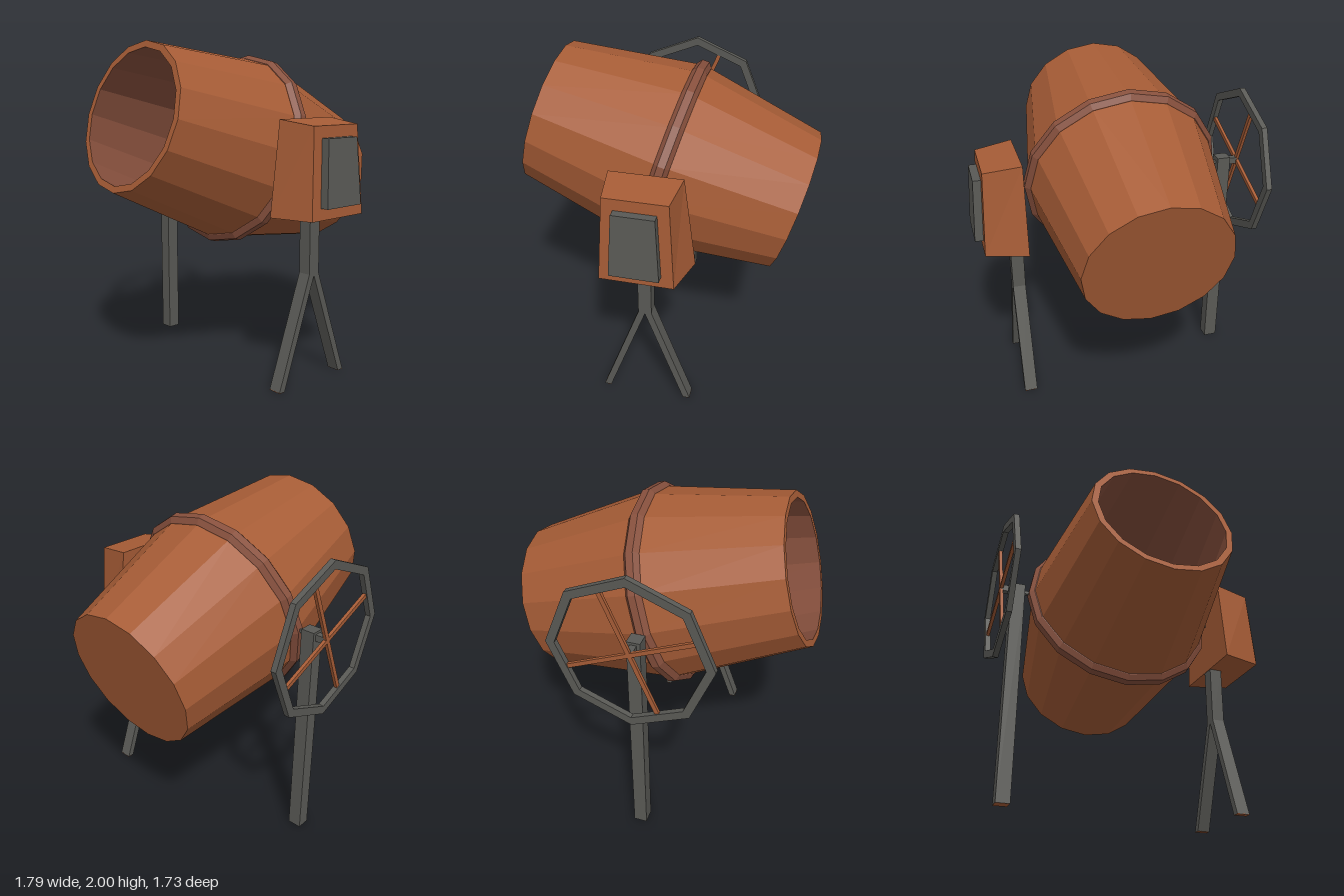
import * as THREE from 'three';

const flat = (name, color) => {
  const m = new THREE.MeshStandardMaterial({ color, flatShading: true });
  m.name = name;
  return m;
};

export function createModel() {
  const brown = flat('rust brown', 0xa65c36);
  const dull = flat('dull red brown', 0x87503d);
  const grey = flat('steel grey', 0x595955);

  const model = new THREE.Group();
  model.name = 'cementMixer';
  const add = (name, geometry, material, x = 0, y = 0, z = 0, parent = model) => {
    const mesh = new THREE.Mesh(geometry, material);
    mesh.name = name;
    mesh.position.set(x, y, z);
    parent.add(mesh);
    return mesh;
  };
  const box = (w, h, d) => new THREE.BoxGeometry(w, h, d);
  const lathe = (pts) => new THREE.LatheGeometry(pts.map((p) => new THREE.Vector2(...p)), 16);
  // box whose corners are placed by a rule of their signs
  const cornerBox = (rule) => {
    const g = box(2, 2, 2);
    const p = g.attributes.position;
    for (let i = 0; i < p.count; i++) p.setXYZ(i, ...rule(p.getX(i), p.getY(i), p.getZ(i)));
    g.computeVertexNormals();
    return g;
  };

  // Tilted drum, mouth towards -x
  const AXLE = 1.355;
  const drum = new THREE.Group();
  drum.name = 'drum';
  drum.position.set(0, 1.349, -0.07);
  drum.rotation.z = THREE.MathUtils.degToRad(-106.2);
  model.add(drum);
  add('drumShell', lathe([[0.405, -0.805], [0.445, -0.805], [0.58, 0], [0.445, 0.805], [0, 0.805]]), brown, 0, 0, 0, drum);
  add('drumInside', lathe([[0, 0.77], [0.41, 0.77], [0.54, 0], [0.405, -0.805]]), dull, 0, 0, 0, drum);
  add('drumBand', lathe([[0.56, -0.048], [0.577, -0.046], [0.606, -0.022], [0.606, 0.022], [0.577, 0.046], [0.56, 0.048]]), dull, 0, 0, 0, drum);

  // Axle stubs
  add('frontAxle', box(0.02, 0.02, 0.09), grey, 0, AXLE, 0.54);
  add('rearAxle', box(0.02, 0.02, 0.09), grey, 0, AXLE, -0.68);
  add('wheelShaft', box(0.04, 0.04, 0.065), grey, 0, AXLE, -0.815);

  // Forked front stand
  const fork = new THREE.Shape([
    [-0.04, 1.02], [-0.04, 0.66], [-0.28, 0], [-0.237, 0], [0, 0.65],
    [0.237, 0], [0.28, 0], [0.04, 0.66], [0.04, 1.02],
  ].map((p) => new THREE.Vector2(...p)));
  add('frontStand', new THREE.ExtrudeGeometry(fork, { depth: 0.08, bevelEnabled: false }), grey, 0, 0, 0.57);
  for (const s of [-1, 1]) add('footSole', box(0.042, 0.004, 0.08), brown, s * 0.2585, 0.001, 0.61);

  // Rear post with a brown underside
  add('rearPost', box(0.08, 1.39, 0.084), [grey, grey, grey, brown, grey, grey], 0, 0.695, -0.748);

  // Motor housing, narrowing to the top and front
  add('motorHousing', cornerBox((x, y, z) => z < 0
    ? [x * (y < 0 ? 0.283 : 0.213), y < 0 ? 1.015 : 1.562, 0.567]
    : [x * (y < 0 ? 0.214 : 0.183), y < 0 ? 1.015 : 1.532, y < 0 ? 0.82 : 0.795]), brown);
  add('motorPanel', cornerBox((x, y, z) => [
    x * (y < 0 ? 0.142 : 0.12),
    y < 0 ? 1.083 : 1.465,
    (y < 0 ? 0.867 : 0.846) - (z < 0 ? 0.06 : 0),
  ]), grey);

  // Eight-sided tilting wheel
  const wheel = new THREE.Group();
  wheel.name = 'handWheel';
  wheel.position.set(0, AXLE, -0.85);
  model.add(wheel);
  const octagon = (r) => Array.from({ length: 8 }, (_, i) =>
    new THREE.Vector2(r * Math.cos(i * Math.PI / 4), r * Math.sin(i * Math.PI / 4)));
  const rim = new THREE.Shape(octagon(0.475));
  rim.holes.push(new THREE.Path(octagon(0.423)));
  add('wheelRim', new THREE.ExtrudeGeometry(rim, { depth: 0.034, bevelEnabled: false }), grey, 0, 0, -0.017, wheel);
  for (const k of [0, 1]) {
    const spoke = add('wheelSpoke', box(0.82, 0.026, 0.02), brown, 0, 0, 0, wheel);
    spoke.rotation.z = -Math.PI / 8 + k * Math.PI / 2;
  }
  return model;
}
